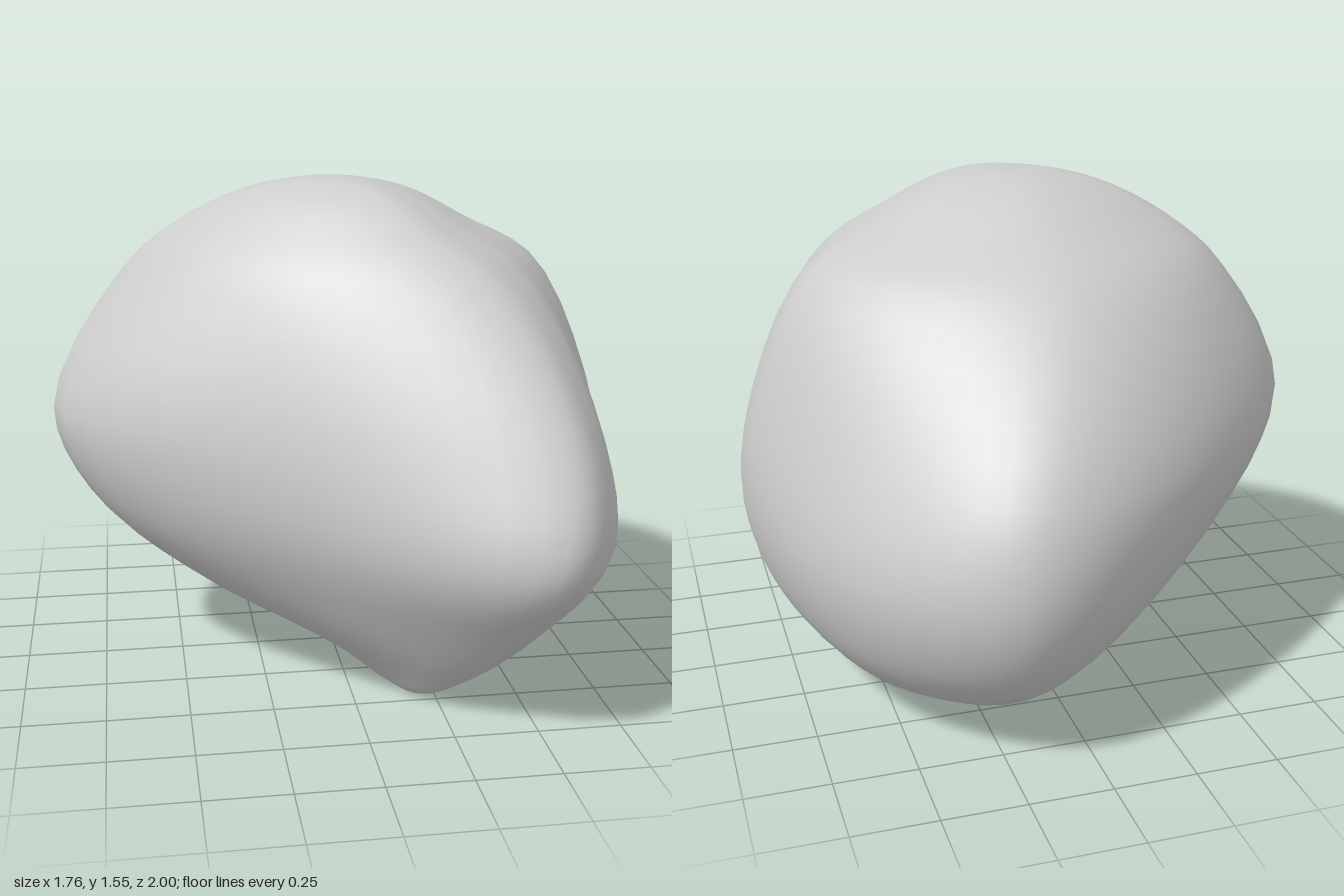
import * as THREE from 'three';

// Outlines at rising heights: [y, then x,z pairs: left tip, back left, back, back right,
// right bulge, hollow, ridge flank, ridge crest, front]
const LEVELS = [
  [0.0, 0.07, 0.10, 0.13, -0.15, 0.24, -0.34, 0.34, -0.23, 0.39, 0.05, 0.34, 0.28, 0.28, 0.41, 0.20, 0.46, 0.11, 0.33],
  [0.1, -0.10, 0.08, -0.04, -0.34, 0.20, -0.64, 0.50, -0.45, 0.61, 0.00, 0.48, 0.35, 0.40, 0.52, 0.28, 0.61, 0.05, 0.43],
  [0.3, -0.47, 0.04, -0.25, -0.54, 0.20, -0.90, 0.58, -0.66, 0.79, -0.05, 0.66, 0.38, 0.55, 0.66, 0.40, 0.81, -0.08, 0.53],
  [0.56, -0.77, 0.02, -0.42, -0.60, 0.21, -1.00, 0.62, -0.72, 0.87, -0.05, 0.77, 0.39, 0.68, 0.80, 0.48, 1.00, -0.15, 0.63],
  [0.85, -0.88, 0.00, -0.48, -0.61, 0.17, -0.94, 0.57, -0.63, 0.84, -0.10, 0.75, 0.38, 0.66, 0.73, 0.52, 0.90, -0.20, 0.59],
  [1.27, -0.64, -0.06, -0.42, -0.40, 0.01, -0.58, 0.42, -0.40, 0.66, -0.08, 0.58, 0.24, 0.50, 0.45, 0.37, 0.59, -0.20, 0.42],
  [1.42, -0.46, -0.03, -0.29, -0.25, 0.00, -0.35, 0.25, -0.23, 0.40, -0.03, 0.38, 0.17, 0.31, 0.33, 0.20, 0.42, -0.16, 0.30],
];
const AROUND = 64, ALONG = 48;

// Smooth closed outline through one level's points
function outline([y, ...xz]) {
  const pts = [];
  for (let i = 0; i < xz.length; i += 2) pts.push(new THREE.Vector3(xz[i], y, xz[i + 1]));
  const curve = new THREE.CatmullRomCurve3(pts, true, 'centripetal');
  return Array.from({ length: AROUND }, (_, j) => curve.getPoint(j / AROUND));
}

// Smaller copy of a ring, drawn in toward a pole
const shrink = (ring, pole, s, y) => ring.map((p) => p.clone().lerp(pole, 1 - s).setY(y));

// Slight hollow running across the middle of the underside
const underside = ({ y, z }) => 0.028 * Math.exp(-(((z - 0.08) / 0.25) ** 2)) * Math.max(0, 1 - y / 0.25);

function stoneGeometry() {
  const base = new THREE.Vector3(0.23, 0, 0.07);
  const peak = new THREE.Vector3(-0.02, 1.55, 0.09);
  const rings = LEVELS.map(outline);
  const last = rings[rings.length - 1];
  rings.unshift(shrink(rings[0], base, 0.5, 0));
  rings.push(shrink(last, peak, 0.6, 1.508), shrink(last, peak, 0.25, 1.545));

  // Meridian curves joining matching points on every ring, pole to pole
  const meridians = Array.from({ length: AROUND }, (_, j) =>
    new THREE.CatmullRomCurve3([base, ...rings.map((r) => r[j]), peak], false, 'centripetal'));

  const positions = [base.x, underside(base), base.z], index = [];
  for (let i = 1; i < ALONG; i++) {
    for (const m of meridians) {
      const p = m.getPoint(i / ALONG);
      positions.push(p.x, Math.max(p.y + underside(p), 0), p.z);
    }
  }
  const top = positions.length / 3;
  positions.push(...peak.toArray());

  const at = (i, j) => 1 + i * AROUND + (j % AROUND);
  for (let j = 0; j < AROUND; j++) {
    index.push(0, at(0, j), at(0, j + 1));
    for (let i = 0; i < ALONG - 2; i++) {
      const a = at(i, j), b = at(i, j + 1), c = at(i + 1, j), d = at(i + 1, j + 1);
      index.push(a, c, b, b, c, d);
    }
    index.push(top, at(ALONG - 2, j + 1), at(ALONG - 2, j));
  }
  const geometry = new THREE.BufferGeometry();
  geometry.setAttribute('position', new THREE.Float32BufferAttribute(positions, 3));
  geometry.setIndex(index);
  geometry.computeVertexNormals();
  return geometry;
}

export function createModel() {
  const group = new THREE.Group();
  group.name = 'boulder';
  const stone = new THREE.Mesh(stoneGeometry(), new THREE.MeshStandardMaterial({ color: 0xcccccc }));
  stone.name = 'stone';
  group.add(stone);
  return group;
}
